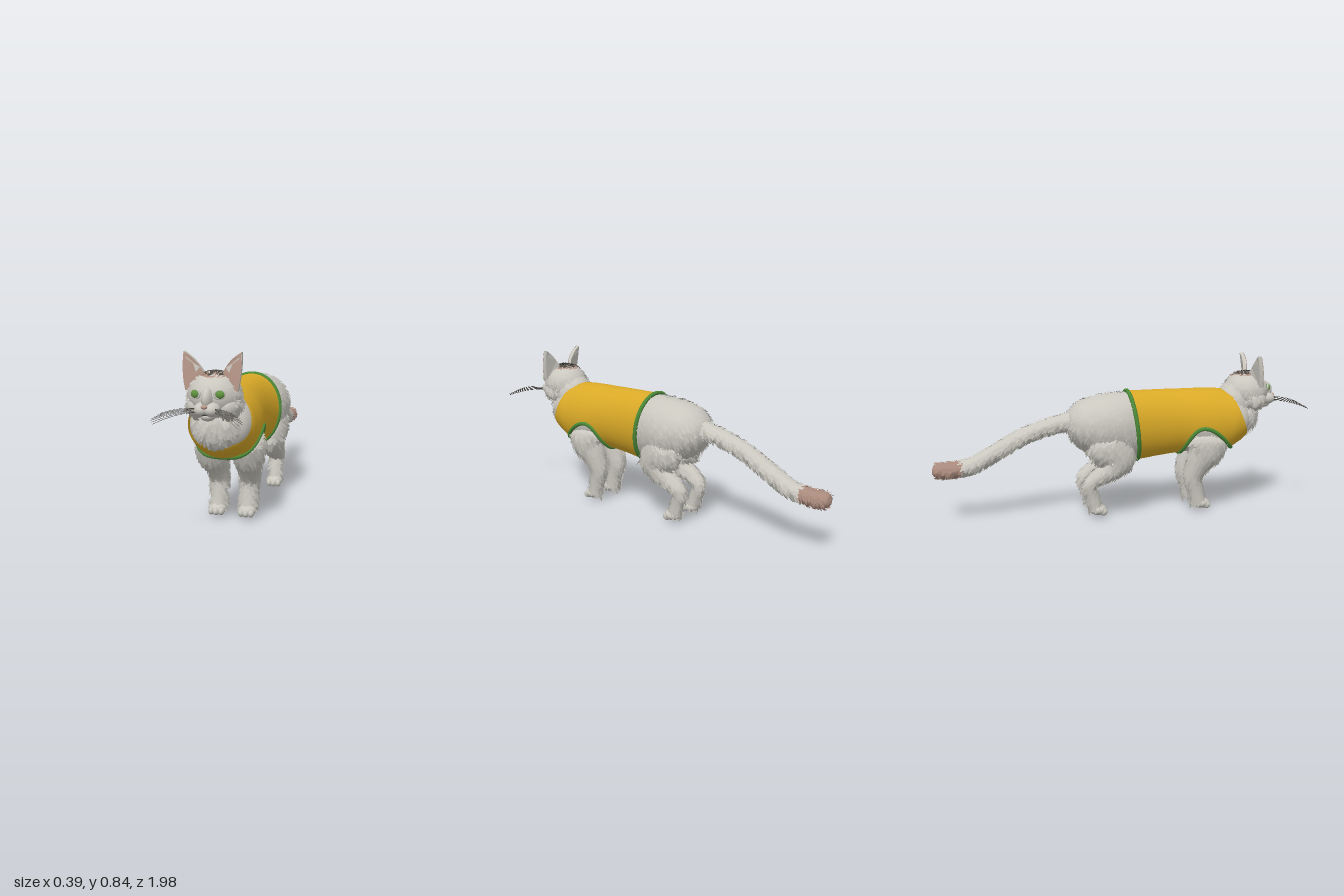
import * as THREE from 'three';
import { mergeGeometries } from 'three/addons/utils/BufferGeometryUtils.js';
import { ParametricGeometry } from 'three/addons/geometries/ParametricGeometry.js';

const mat = (name, color, side = THREE.FrontSide) => Object.assign(new THREE.MeshStandardMaterial({ color, side }), { name });
const { sin, cos, PI } = Math;

// small seeded random generator for the fur
let seed = 7;
const rand = () => (seed = (seed * 16807) % 2147483647) / 2147483647;

// smooth interpolation of rows [key, a, b, ...] sorted by rising key
function sample(rows, key) {
  let i = 0;
  while (i < rows.length - 2 && key > rows[i + 1][0]) i++;
  const slope = (j, c) => {
    const a = rows[Math.max(j - 1, 0)], b = rows[Math.min(j + 1, rows.length - 1)];
    return (b[c] - a[c]) / (b[0] - a[0]);
  };
  const [p, q] = [rows[i], rows[i + 1]], h = q[0] - p[0];
  const t = Math.min(Math.max((key - p[0]) / h, 0), 1), t2 = t * t, t3 = t2 * t;
  return p.map((_, c) => c === 0 ? key : p[c] * (2 * t3 - 3 * t2 + 1) + q[c] * (3 * t2 - 2 * t3)
    + h * slope(i, c) * (t3 - 2 * t2 + t) + h * slope(i + 1, c) * (t3 - t2));
}

// limb swept along a path in the yz plane; rows are [x, y, z, halfWidth, halfDepth]
function sweep(list, around = 18, along = 30) {
  const rows = list.map((r, i) => [i, ...r]), last = rows.length - 1;
  return new ParametricGeometry((u, v, out) => {
    const [, x, y, z, rx, rn] = sample(rows, v * last);
    const a = sample(rows, Math.max(v * last - 0.05, 0)), b = sample(rows, Math.min(v * last + 0.05, last));
    const ty = b[2] - a[2], tz = b[3] - a[3], l = Math.hypot(ty, tz) || 1, th = u * 2 * PI;
    out.set(x + sin(th) * rx, y - cos(th) * rn * tz / l, z + cos(th) * rn * ty / l);
  }, around, along);
}

const ball = (x, y, z, rx, ry, rz) => new THREE.SphereGeometry(1, 28, 20).scale(rx, ry, rz).translate(x, y, z);

// torso outline: z, belly height, back height, half width
const TORSO = [
  [-0.305, 0.475, 0.5, 0.01], [-0.28, 0.41, 0.55, 0.08], [-0.22, 0.35, 0.6, 0.135], [-0.12, 0.31, 0.627, 0.163],
  [-0.02, 0.29, 0.638, 0.16], [0.08, 0.285, 0.638, 0.137], [0.2, 0.3, 0.64, 0.125], [0.32, 0.31, 0.64, 0.13],
  [0.45, 0.29, 0.64, 0.148], [0.55, 0.3, 0.635, 0.15], [0.62, 0.34, 0.62, 0.145], [0.68, 0.385, 0.58, 0.115],
  [0.72, 0.45, 0.52, 0.03]];
function torsoPoint(z, th, off, out) {
  const [, lo, hi, w] = sample(TORSO, z);
  return out.set(sin(th) * (w + off), (lo + hi) / 2 + cos(th) * ((hi - lo) / 2 + off), z);
}

// vest surface: v runs from collar to waist, s from right edge (-1) to left edge (1)
function vestAngle(v) {
  const z = 0.7 - 0.62 * v, [, lo, hi] = sample(TORSO, z);
  const arch = 0.45 - 0.14 * ((z - 0.465) / 0.155) ** 2;
  return Math.acos(Math.max(-1, Math.min(1, (arch - (lo + hi) / 2) / ((hi - lo) / 2))));
}
function vestPoint(s, v, off, out) {
  const th = s * vestAngle(v), k = (1 - cos(th)) / 2;
  return torsoPoint((0.585 + 0.115 * k) * (1 - v) + (0.03 + 0.05 * k) * v, th, off, out);
}

// short flat tufts scattered over a surface, lying backwards and down
function tufts(geo, count, size = 1, skip = () => false) {
  const g = geo.index ? geo.toNonIndexed() : geo, p = g.attributes.position, sums = [];
  const tri = new THREE.Triangle();
  let total = 0;
  for (let i = 0; i < p.count; i += 3) {
    tri.setFromAttributeAndIndices(p, i, i + 1, i + 2);
    sums.push(total += tri.getArea());
  }
  const pos = [], nor = [], n = new THREE.Vector3(), lie = new THREE.Vector3();
  for (let k = 0; k < count; k++) {
    const r = rand() * total;
    let a = 0, b = sums.length - 1;
    while (a < b) { const m = (a + b) >> 1; if (sums[m] < r) a = m + 1; else b = m; }
    tri.setFromAttributeAndIndices(p, a * 3, a * 3 + 1, a * 3 + 2);
    tri.getNormal(n);
    const u = rand(), w = rand() * (1 - u);
    const c = tri.a.clone().multiplyScalar(1 - u - w).addScaledVector(tri.b, u).addScaledVector(tri.c, w);
    if (skip(c)) continue;
    lie.set((rand() - 0.5) * 0.8, -0.9, -0.6).addScaledVector(n, -lie.dot(n)).normalize();
    const side = lie.clone().cross(n).normalize().multiplyScalar(0.007 * size);
    const tip = c.clone().addScaledVector(lie, (0.02 + 0.012 * rand()) * size).addScaledVector(n, 0.009 * size);
    const l = c.clone().sub(side), q = c.clone().add(side), e = side.clone().multiplyScalar(0.55);
    const tl = tip.clone().sub(e), tr = tip.clone().add(e);
    for (const v of [l, q, tr, l, tr, tl]) { pos.push(v.x, v.y, v.z); nor.push(n.x, n.y, n.z); }
  }
  const out = new THREE.BufferGeometry();
  out.setAttribute('position', new THREE.Float32BufferAttribute(pos, 3));
  out.setAttribute('normal', new THREE.Float32BufferAttribute(nor, 3));
  return out;
}

export function createModel() {
  const cat = new THREE.Group();
  cat.name = 'cat';
  const fur = mat('greyFur', 0xcac7bf), furTuft = mat('furTuft', 0xcac7bf, THREE.DoubleSide);
  const vestMat = mat('yellowCloth', 0xd9a927, THREE.DoubleSide), green = mat('greenTrim', 0x4c8a38);
  const pink = mat('pinkSkin', 0xb8988a, THREE.DoubleSide), brown = mat('brownFur', 0xa98a7c, THREE.DoubleSide);
  const dark = mat('darkFur', 0x4b4842, THREE.DoubleSide), eyeMat = mat('greenEye', 0x5f9440);
  const add = (name, geo, m, parent = cat) => {
    const mesh = new THREE.Mesh(geo, m);
    mesh.name = name;
    parent.add(mesh);
    return mesh;
  };
  const furry = (name, geo, count, size, m = fur, tm = furTuft, skip) => {
    add(name, geo, m);
    add(name + 'Tufts', tufts(geo, count, size, skip), tm);
  };

  // torso
  const torso = new ParametricGeometry((u, v, o) => torsoPoint(0.72 - 1.025 * v, u * 2 * PI, 0, o), 36, 70);
  furry('torso', torso, 2600, 1, fur, furTuft, c => c.z > 0.06 && c.z < 0.72);

  // vest with green trim round the waist and the chest opening
  add('vest', new ParametricGeometry((u, v, o) => vestPoint(u * 2 - 1, v, 0.01, o), 48, 90), vestMat);
  const waist = [], opening = [], V = () => new THREE.Vector3();
  for (let i = 0; i < 40; i++) waist.push(vestPoint(i / 20 - 1, 1, 0.009, V()));
  for (const s of [1, -1]) {
    const edge = [];
    for (let v = 0; v <= 1; v += 0.02) if (vestAngle(v) < PI - 0.05) edge.push(vestPoint(s, v, 0.009, V()));
    opening.push(...(s > 0 ? edge : edge.reverse()));
  }
  for (const [name, pts] of [['waistTrim', waist], ['openingTrim', opening]])
    add(name, new THREE.TubeGeometry(new THREE.CatmullRomCurve3(pts, true), 120, 0.011, 8, true), green);

  // neck and chest ruff
  furry('neck', ball(0, 0.57, 0.63, 0.108, 0.112, 0.1), 500, 1, fur, furTuft, c => c.z < 0.6);
  furry('chestRuff', ball(0, 0.495, 0.68, 0.1, 0.1, 0.075), 700, 1.3, fur, furTuft, c => c.z < 0.67);

  // legs and paws
  for (const s of [1, -1]) {
    const side = s > 0 ? 'left' : 'right';
    furry(side + 'FrontLeg', sweep([
      [s * 0.08, 0.435, 0.465, 0.01, 0.01], [s * 0.085, 0.39, 0.46, 0.072, 0.105], [s * 0.09, 0.32, 0.45, 0.073, 0.095],
      [s * 0.085, 0.26, 0.415, 0.06, 0.07], [s * 0.078, 0.18, 0.385, 0.046, 0.05], [s * 0.076, 0.1, 0.4, 0.04, 0.04],
      [s * 0.075, 0.03, 0.415, 0.04, 0.04]]), 900);
    furry(side + 'HindLeg', sweep([
      [s * 0.085, 0.47, -0.12, 0.01, 0.01], [s * 0.09, 0.39, -0.1, 0.07, 0.11], [s * 0.09, 0.31, -0.03, 0.07, 0.09],
      [s * 0.09, 0.25, -0.07, 0.056, 0.062], [s * 0.087, 0.2, -0.15, 0.044, 0.042], [s * 0.085, 0.16, -0.19, 0.038, 0.036],
      [s * 0.083, 0.1, -0.175, 0.034, 0.034], [s * 0.082, 0.03, -0.155, 0.036, 0.034]]), 900);
    for (const [leg, x, z] of [['Front', 0.075, 0.43], ['Hind', 0.082, -0.145]]) {
      const toes = [-1, 0, 1].map(t => ball(s * x + t * 0.024, 0.02, z + 0.03 - Math.abs(t) * 0.006, 0.016, 0.02, 0.022));
      add(side + leg + 'Paw', mergeGeometries([ball(s * x, 0.029, z, 0.044, 0.029, 0.046), ...toes]), fur);
    }
  }

  // tail and its tip
  furry('tail', sweep([
    [0, 0.5, -0.24, 0.05, 0.05], [0, 0.485, -0.33, 0.045, 0.042], [0, 0.435, -0.5, 0.045, 0.04],
    [0, 0.355, -0.65, 0.046, 0.04], [0, 0.29, -0.77, 0.045, 0.04], [0, 0.27, -0.84, 0.043, 0.038]]), 1100);
  furry('tailTip', sweep([
    [0, 0.271, -0.835, 0.044, 0.039], [0, 0.264, -0.9, 0.045, 0.04], [0, 0.265, -0.96, 0.042, 0.038],
    [0, 0.267, -0.985, 0.028, 0.026], [0, 0.268, -0.992, 0.003, 0.003]]), 350, 0.8, brown, brown, c => c.z < -0.97);

  // head, cheeks and muzzle
  furry('head', ball(0, 0.63, 0.7, 0.118, 0.102, 0.122), 900, 0.8, fur, furTuft, c => c.z > 0.77);
  for (const s of [1, -1]) furry('cheek', ball(s * 0.062, 0.585, 0.72, 0.058, 0.055, 0.075), 260, 0.9, fur, furTuft, c => c.z > 0.77);
  add('muzzle', mergeGeometries([
    ball(0.022, 0.585, 0.815, 0.036, 0.032, 0.05), ball(-0.022, 0.585, 0.815, 0.036, 0.032, 0.05),
    ball(0, 0.556, 0.8, 0.034, 0.024, 0.045), ball(0, 0.63, 0.805, 0.026, 0.05, 0.05)]), fur);
  add('nose', ball(0, 0.602, 0.858, 0.014, 0.01, 0.012), pink);
  add('mouth', ball(0, 0.566, 0.842, 0.024, 0.004, 0.012), dark);

  // crown markings
  const cap = (spread, k) => new THREE.SphereGeometry(1, 24, 8, 0, 2 * PI, 0, spread)
    .scale(0.118 * k, 0.102 * k, 0.122 * k).translate(0, 0.63, 0.7);
  furry('brownCrown', cap(0.58, 1.015), 90, 0.7, brown, brown);
  furry('darkCrown', cap(0.46, 1.03), 110, 0.7, dark, dark);

  // eyes, ears and whiskers, mirrored
  for (const s of [1, -1]) {
    const half = new THREE.Group();
    half.name = s > 0 ? 'leftFace' : 'rightFace';
    half.scale.x = s;
    cat.add(half);
    add('eye', ball(0.053, 0.65, 0.806, 0.022, 0.019, 0.014), eyeMat, half);
    const rim = new THREE.TorusGeometry(0.022, 0.005, 8, 24).scale(1, 0.87, 1).rotateY(0.4).translate(0.053, 0.65, 0.808);
    add('eyelid', rim, fur, half);

    const ear = new THREE.Shape();
    ear.moveTo(0.118, 0.655);
    ear.quadraticCurveTo(0.138, 0.74, 0.131, 0.825);
    ear.quadraticCurveTo(0.06, 0.785, 0.03, 0.7);
    ear.lineTo(0.118, 0.655);
    const curl = (g, dz) => {
      const p = g.attributes.position;
      for (let i = 0; i < p.count; i++)
        p.setZ(i, p.getZ(i) + dz + 0.5 * (p.getX(i) - 0.08) * (0.825 - p.getY(i)) / 0.15);
      g.computeVertexNormals();
      return g;
    };
    add('ear', curl(new THREE.ExtrudeGeometry(ear, { depth: 0.02, bevelEnabled: false, curveSegments: 10 }), 0.712), fur, half);
    add('innerEar', curl(new THREE.ShapeGeometry(ear, 10), 0.734), pink, half);

    const whiskers = [];
    for (let i = 0; i < 7; i++) {
      const t = i / 6, end = V().set(0.2 - 0.05 * Math.abs(t - 0.4), 0.545 + 0.035 * t, 0.93 + 0.06 * (1 - t));
      const path = new THREE.QuadraticBezierCurve3(V().set(0.035, 0.573 + 0.02 * t, 0.84), V().set(0.1, 0.585 + 0.02 * t, 0.9), end);
      whiskers.push(new THREE.TubeGeometry(path, 10, 0.0009, 4));
    }
    add('whiskers', mergeGeometries(whiskers), dark, half);
  }
  return cat;
}
